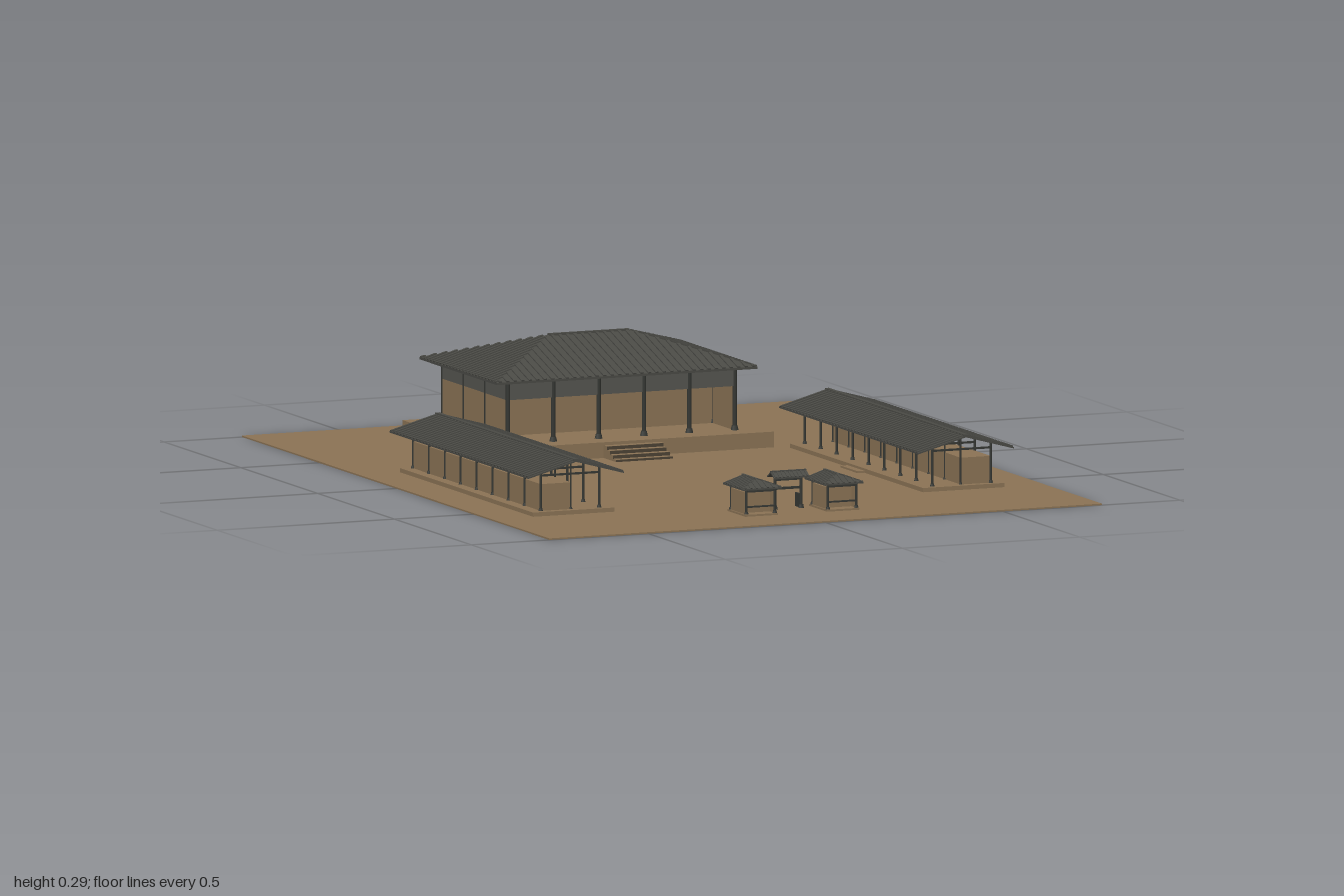
import * as THREE from 'three';
import { mergeGeometries } from 'three/addons/utils/BufferGeometryUtils.js';

const mat = (name, color, side = THREE.FrontSide) => {
  const m = new THREE.MeshStandardMaterial({ color, side });
  m.name = name;
  return m;
};

export function createModel() {
  const earth = mat('tan earth', 0x8b7355);
  const tile = mat('grey roof tile', 0x4a4a45, THREE.DoubleSide);
  const timber = mat('dark timber', 0x353733);
  const panel = mat('grey upper panel', 0x555550);
  const stone = mat('dark stair riser', 0x4c4234);

  const model = new THREE.Group();
  model.name = 'courtyardComplex';

  // box given by its minimum and maximum corners
  const box = (parent, name, m, x0, x1, y0, y1, z0, z1) => {
    const mesh = new THREE.Mesh(new THREE.BoxGeometry(x1 - x0, y1 - y0, z1 - z0), m);
    mesh.position.set((x0 + x1) / 2, (y0 + y1) / 2, (z0 + z1) / 2);
    mesh.name = name;
    parent.add(mesh);
    return mesh;
  };

  // round post on a wider foot
  const post = (parent, x, z, y0, y1, r) => {
    const shaft = new THREE.CylinderGeometry(r, r, y1 - y0, 8).translate(x, (y0 + y1) / 2, z);
    const foot = new THREE.CylinderGeometry(r * 1.3, r * 1.8, r * 2, 8).translate(x, y0 + r, z);
    const mesh = new THREE.Mesh(mergeGeometries([shaft, foot]), timber);
    mesh.name = 'post';
    parent.add(mesh);
  };

  // sloped strip between two points, used for tile ribs and ridges
  const strip = (a, b, w, t) => {
    const m = new THREE.Matrix4().lookAt(b, a, new THREE.Vector3(0, 1, 0));
    m.setPosition(a.clone().add(b).multiplyScalar(0.5));
    return new THREE.BoxGeometry(w, t, a.distanceTo(b)).applyMatrix4(m);
  };

  // thin ridged roof along local x; hipA and hipB pull in the ridge ends (0 gives a gable)
  const ridgedRoof = (name, L, W, h, hipA, hipB, t, gap) => {
    const V = (x, y, z) => new THREE.Vector3(x, y, z);
    const rA = V(-L + hipA, h, 0), rB = V(L - hipB, h, 0);
    const c = [V(-L, 0, W), V(L, 0, W), V(L, 0, -W), V(-L, 0, -W)];
    const tris = [];
    const face = (...p) => { for (let i = 1; i < p.length - 1; i++) tris.push(p[0], p[i], p[i + 1]); };
    const down = (p) => V(p.x, p.y - t, p.z);
    const slopes = [[c[0], c[1], rB, rA], [c[2], c[3], rA, rB]];
    if (hipA) slopes.push([c[3], c[0], rA]);
    if (hipB) slopes.push([c[1], c[2], rB]);
    for (const s of slopes) {
      face(...s);
      face(...s.map(down).reverse());
    }
    const rim = [c[0], c[1], ...(hipB ? [] : [rB]), c[2], c[3], ...(hipA ? [] : [rA])];
    rim.forEach((p, i) => {
      const q = rim[(i + 1) % rim.length];
      face(down(p), down(q), q, p);
    });
    const g = new THREE.BufferGeometry().setFromPoints(tris);
    g.computeVertexNormals();

    // tile ribs running down each slope
    const parts = [];
    const w = gap * 0.4, lift = gap * 0.3;
    const nx = Math.floor(2 * L / gap), nz = Math.floor(2 * W / gap);
    for (let i = 0; i < nx; i++) {
      const x = -L + (i + 0.5) * 2 * L / nx;
      const hip = x < 0 ? hipA : hipB;
      const f = hip ? Math.min(1, (L - Math.abs(x)) / hip) : 1;
      for (const s of [-1, 1]) parts.push(strip(V(x, 0, s * W), V(x, f * h, s * W * (1 - f)), w, lift));
    }
    for (const [s, hip] of [[-1, hipA], [1, hipB]]) {
      for (let i = 0; hip && i < nz; i++) {
        const z = -W + (i + 0.5) * 2 * W / nz;
        const f = 1 - Math.abs(z) / W;
        if (f > 0.02) parts.push(strip(V(s * L, 0, z), V(s * (L - hip * f), h * f, z), w, lift));
      }
    }
    parts.push(strip(rA, rB, w * 1.4, lift * 1.2));

    const roof = new THREE.Group();
    roof.name = name;
    const skin = new THREE.Mesh(g, tile);
    skin.name = 'roofSlopes';
    const ribs = new THREE.Mesh(mergeGeometries(parts), tile);
    ribs.name = 'tileRibs';
    roof.add(skin, ribs);
    return roof;
  };

  // ground
  box(model, 'ground', earth, -0.78, 0.78, 0, 0.004, -1, 1);

  // main hall: platform, stairs, walls, posts and hipped roof
  const hall = new THREE.Group();
  hall.name = 'mainHall';
  model.add(hall);
  box(hall, 'platform', earth, -0.4, 0.4, 0.004, 0.045, -0.83, -0.26);
  for (let i = 0; i < 4; i++) {
    const y = 0.037 - i * 0.009, z = -0.24 + i * 0.02;
    box(hall, 'step', earth, -0.08, 0.08, 0.004, y, -0.26, z);
    box(hall, 'stepRiser', stone, -0.08, 0.08, Math.max(0.004, y - 0.009), y - 0.0005, z, z + 0.001);
  }
  box(hall, 'backWall', earth, -0.32, 0.32, 0.045, 0.16, -0.755, -0.745);
  box(hall, 'frontWall', earth, -0.315, 0.315, 0.045, 0.16, -0.475, -0.465);
  box(hall, 'backPanel', panel, -0.32, 0.32, 0.16, 0.212, -0.755, -0.745);
  box(hall, 'frontPanel', panel, -0.32, 0.32, 0.16, 0.212, -0.335, -0.327);
  for (const s of [-1, 1]) {
    const x0 = s * 0.32 - 0.004, x1 = s * 0.32 + 0.004;
    box(hall, 'sideWall', earth, x0, x1, 0.045, 0.16, -0.75, -0.33);
    box(hall, 'sidePanel', panel, x0, x1, 0.16, 0.212, -0.75, -0.33);
    for (const z of [-0.47, -0.61]) post(hall, s * 0.32, z, 0.045, 0.212, 0.006);
  }
  for (const x of [-0.32, -0.192, -0.064, 0.064, 0.192, 0.32]) {
    post(hall, x, -0.33, 0.045, 0.214, 0.006);
    post(hall, x, -0.75, 0.045, 0.214, 0.006);
  }
  const hallRoof = ridgedRoof('hallRoof', 0.368, 0.252, 0.077, 0.255, 0.255, 0.006, 0.021);
  hallRoof.position.set(0, 0.213, -0.543);
  hall.add(hallRoof);

  // two long side wings with an open gallery facing the courtyard
  for (const s of [-1, 1]) {
    const wing = new THREE.Group();
    wing.name = s > 0 ? 'leftWing' : 'rightWing';
    model.add(wing);
    const part = (name, m, a, b, y0, y1, z0, z1) =>
      box(wing, name, m, Math.min(s * a, s * b), Math.max(s * a, s * b), y0, y1, z0, z1);
    part('base', earth, 0.435, 0.665, 0.004, 0.015, -0.235, 0.63);
    part('lowStep', earth, 0.415, 0.435, 0.004, 0.009, 0.14, 0.25);
    part('rooms', earth, 0.55, 0.635, 0.015, 0.085, -0.22, 0.61);
    for (let i = 0; i < 9; i++) {
      const z = -0.22 + i * 0.10375;
      post(wing, s * 0.47, z, 0.015, 0.122, 0.0035);
      post(wing, s * 0.635, z, 0.015, 0.12, 0.0035);
      post(wing, s * 0.55, z, 0.015, 0.143, 0.0025);
      part('tieBeam', timber, 0.47, 0.635, 0.105, 0.11, z - 0.003, z + 0.003);
    }
    const roof = ridgedRoof('wingRoof', 0.4525, 0.135, 0.037, 0, 0, 0.004, 0.021);
    roof.rotation.y = -Math.PI / 2;
    roof.position.set(s * 0.55, 0.11, 0.1925);
    wing.add(roof);
  }

  // entrance: two small pavilions either side of a roofed gate
  const entrance = new THREE.Group();
  entrance.name = 'entrance';
  model.add(entrance);
  for (const s of [-1, 1]) {
    const cx = s * 0.115;
    box(entrance, 'pavilionBase', earth, cx - 0.046, cx + 0.046, 0.004, 0.009, 0.732, 0.85);
    box(entrance, 'pavilionBody', earth, cx - 0.038, cx + 0.038, 0.009, 0.066, 0.742, 0.815);
    for (const x of [-0.04, 0.04]) {
      for (const z of [0.742, 0.842]) post(entrance, cx + x, z, 0.008, 0.08, 0.0035);
      box(entrance, 'sideWall', earth, cx + x - 0.002, cx + x + 0.002, 0.009, 0.066, 0.742, 0.842);
    }
    box(entrance, 'frontBeam', timber, cx - 0.04, cx + 0.04, 0.066, 0.071, 0.839, 0.845);
    box(entrance, 'railing', timber, cx - 0.04, cx + 0.04, 0.026, 0.03, 0.839, 0.845);
    const roof = ridgedRoof('pavilionRoof', 0.065, 0.055, 0.018, 0, 0.045, 0.004, 0.014);
    roof.rotation.y = -Math.PI / 2;
    roof.position.set(cx, 0.077, 0.79);
    entrance.add(roof);
    // gate post with rear bracket
    post(entrance, s * 0.037, 0.755, 0.004, 0.094, 0.0045);
    box(entrance, 'gateBracket', timber, s * 0.037 - 0.003, s * 0.037 + 0.003, 0.004, 0.04, 0.722, 0.755);
  }
  for (const y of [0.055, 0.078]) box(entrance, 'gateBeam', timber, -0.04, 0.04, y, y + 0.006, 0.752, 0.758);
  const gateRoof = ridgedRoof('gateRoof', 0.05, 0.023, 0.013, 0, 0, 0.004, 0.011);
  gateRoof.position.set(0, 0.09, 0.757);
  entrance.add(gateRoof);

  return model;
}
